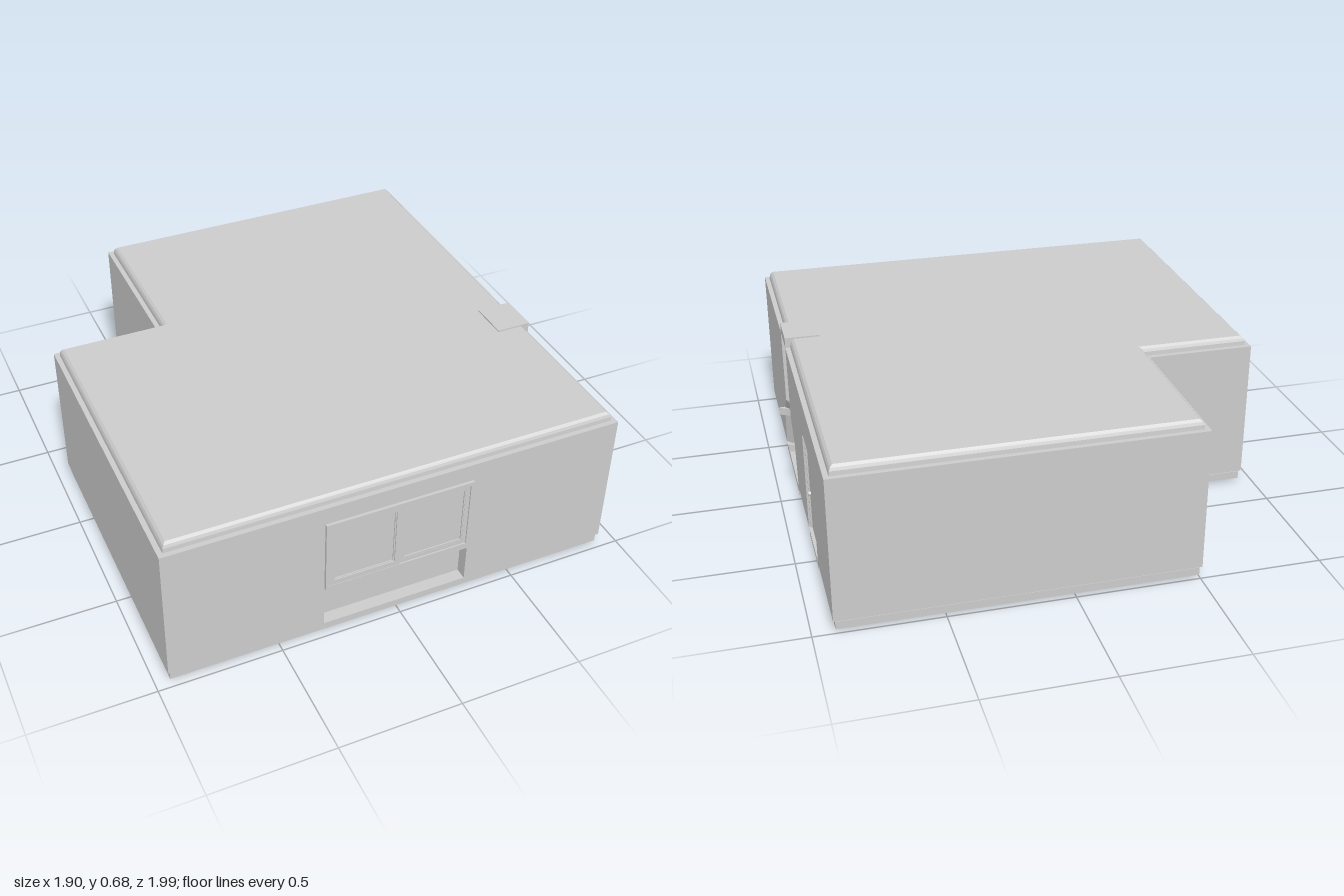
import * as THREE from 'three';

const material = new THREE.MeshStandardMaterial({ color: 0xcccccc, side: THREE.DoubleSide, flatShading: true });

function add(parent, name, geometry, x = 0, y = 0, z = 0) {
  const mesh = new THREE.Mesh(geometry, material);
  mesh.name = name;
  mesh.position.set(x, y, z);
  parent.add(mesh);
  return mesh;
}

// Box given by its min and max corners
function box(parent, name, [x0, y0, z0], [x1, y1, z1]) {
  return add(parent, name, new THREE.BoxGeometry(x1 - x0, y1 - y0, z1 - z0),
    (x0 + x1) / 2, (y0 + y1) / 2, (z0 + z1) / 2);
}

// Joins closed rings of [x, y, z] points; each listed ring is capped, flattened on two axes
function loft(rings, caps = [], axes = [0, 1]) {
  const out = [];
  for (let r = 0; r + 1 < rings.length; r++) {
    const n = rings[r].length;
    for (let i = 0; i < n; i++) {
      const j = (i + 1) % n;
      const [a, b, c, d] = [rings[r][i], rings[r][j], rings[r + 1][j], rings[r + 1][i]];
      out.push(a, b, c, a, c, d);
    }
  }
  for (const k of caps) {
    const flat = rings[k].map(p => new THREE.Vector2(p[axes[0]], p[axes[1]]));
    for (const tri of THREE.ShapeUtils.triangulateShape(flat, [])) {
      const order = k === 0 ? [tri[2], tri[1], tri[0]] : tri;
      out.push(...order.map(i => rings[k][i]));
    }
  }
  const geometry = new THREE.BufferGeometry();
  geometry.setAttribute('position', new THREE.Float32BufferAttribute(out.flat(), 3));
  geometry.computeVertexNormals();
  return geometry;
}

const rect = (x0, y0, x1, y1) => [[x0, y0], [x1, y0], [x1, y1], [x0, y1]];
const toShape = pts => new THREE.Shape(pts.map(p => new THREE.Vector2(...p)));

// L-shaped plan at height y, drawn in by an inset
const plan = (y, i) => [
  [-0.95 + i, y, 0.98 - i], [0.92 - i, y, 0.98 - i], [0.92 - i, y, -1 + i],
  [-0.505 + i, y, -1 + i], [-0.505 + i, y, -0.33 + i], [-0.95 + i, y, -0.33 + i],
];

// Rectangular frame with an open middle
function frame(parent, name, [x0, y0, x1, y1], border, z, depth) {
  const shape = toShape(rect(x0, y0, x1, y1));
  shape.holes.push(toShape(rect(x0 + border, y0 + border, x1 - border, y1 - border)));
  add(parent, name, new THREE.ExtrudeGeometry(shape, { depth, bevelEnabled: false }), 0, 0, z);
}

// Mirrors a half outline [halfWidth, y, depth] about u = centre
const mirrorOutline = (half, centre) => [
  ...half.map(([w, y, d]) => [centre + w, y, d]),
  ...half.slice().reverse().map(([w, y, d]) => [centre - w, y, d]),
];

const WALL_BOTTOM = 0.052, WALL_TOP = 0.64;

export function createModel() {
  const house = new THREE.Group();
  house.name = 'house';

  // Floor with skirting, roof with rounded cornice
  add(house, 'floorAndSkirting', loft([plan(0.012, 0.008), plan(0.045, 0.008), plan(0.045, 0.012),
    plan(0.052, 0.012), plan(WALL_BOTTOM, 0)], [0], [0, 2]));
  add(house, 'roof', loft([plan(WALL_TOP, 0), plan(WALL_TOP, 0.02), plan(0.657, 0.022),
    plan(0.668, 0.027), plan(0.677, 0.037)], [4], [0, 2]));

  // Outlines of the openings, in the coordinates of their wall
  const seatOuter = rect(-0.32, WALL_BOTTOM, 0.29, 0.215);
  const chimneyCentre = -0.228;
  const hearthOuter = mirrorOutline([[0.215, WALL_BOTTOM, 0], [0.18, 0.24, 0], [0.084, 0.32, 0], [0.084, WALL_TOP, 0]], chimneyCentre);
  const hearthInner = mirrorOutline([[0.12, WALL_BOTTOM, -0.08], [0.105, 0.215, -0.08], [0.07, 0.27, -0.14], [0.07, WALL_TOP, -0.14]], chimneyCentre);
  const doorOutline = (i, d) => mirrorOutline([[0.135 - i, WALL_BOTTOM, d], [0.135 - i, 0.468 - i, d], [0.12 - i, 0.485 - i, d]], 0.455);
  const doorOuter = doorOutline(0, 0);
  const holes = [[seatOuter], [hearthOuter, doorOuter]];

  // Walls, each a group whose local z points outwards
  const corners = plan(0, 0);
  const walls = corners.map((p, i) => {
    const q = corners[(i + 1) % corners.length];
    const a = new THREE.Vector3(...p), b = new THREE.Vector3(...q);
    const dir = b.clone().sub(a).normalize();
    const u0 = a.dot(dir), u1 = b.dot(dir);
    const wall = new THREE.Group();
    wall.name = ['frontWall', 'leftWall', 'backWall', 'notchSideWall', 'notchBackWall', 'rightWall'][i];
    wall.position.copy(a).addScaledVector(dir, -u0);
    wall.rotation.y = Math.atan2(-dir.z, dir.x);
    const shape = toShape(rect(u0, WALL_BOTTOM, u1, WALL_TOP));
    for (const hole of holes[i] || []) shape.holes.push(toShape(hole.map(([u, v]) => [u, v])));
    add(wall, 'wallPanel', new THREE.ShapeGeometry(shape));
    house.add(wall);
    return wall;
  });
  const [front, side] = walls;

  // Sliding window
  frame(front, 'windowFrame', [-0.32, 0.242, 0.29, 0.565], 0.014, 0, 0.012);
  frame(front, 'fixedSash', [-0.012, 0.256, 0.276, 0.551], 0.018, 0, 0.006);
  frame(front, 'slidingSash', [-0.306, 0.256, -0.01, 0.551], 0.022, 0, 0.01);
  for (const x of [-0.158, 0.132]) {
    frame(front, 'paneBead', [x - 0.128, 0.274, x + 0.128, 0.533], 0.007, 0, 0.005);
  }

  // Window seat niche with its ledge
  add(front, 'seatNiche', loft([seatOuter.map(([x, y]) => [x, y, 0]),
    seatOuter.map(([x, y]) => [x, y, -0.05])], [1]));
  box(front, 'seatLedge', [-0.32, 0.18, -0.05], [0.29, 0.2, -0.035]);

  // Fireplace recess, hearth, mantel ends and chimney cap
  add(side, 'fireplace', loft([hearthOuter, hearthInner], [1]));
  box(side, 'hearth', [-0.443, 0.012, -0.02], [-0.013, WALL_BOTTOM, -0.002]);
  for (const s of [-1, 1]) {
    const ring = y => [[0.105, -0.085], [0.165, 0], [0.178, 0.026], [0.182, 0.022], [0.184, 0], [0.125, -0.085]]
      .map(([w, d]) => [chimneyCentre + s * w, y, d]);
    add(side, 'mantelEnd', loft([ring(0.207), ring(0.24)], [0, 1], [0, 2]));
  }
  box(side, 'chimneyCap', [chimneyCentre - 0.084, WALL_TOP, -0.145], [chimneyCentre + 0.084, 0.683, 0]);

  // Door set into a stepped frame
  add(side, 'doorAndFrame', loft([doorOuter, doorOutline(0.005, -0.008),
    doorOutline(0.011, -0.008), doorOutline(0.014, -0.014)], [3]));
  box(side, 'doorThreshold', [0.32, 0.012, -0.03], [0.59, WALL_BOTTOM, -0.003]);
  const knob = add(side, 'doorKnob', new THREE.CylinderGeometry(0.008, 0.008, 0.012, 10), 0.365, 0.23, -0.009);
  knob.rotation.x = Math.PI / 2;

  // Small fittings under the floor
  for (const [x, z] of [[-0.48, 0.9], [0.77, 0.7], [0.47, 0.7], [-0.25, -0.82], [-0.48, -0.81]]) {
    add(house, 'floorFitting', new THREE.CylinderGeometry(0.01, 0.008, 0.012, 8), x, 0.006, z);
  }
  return house;
}
